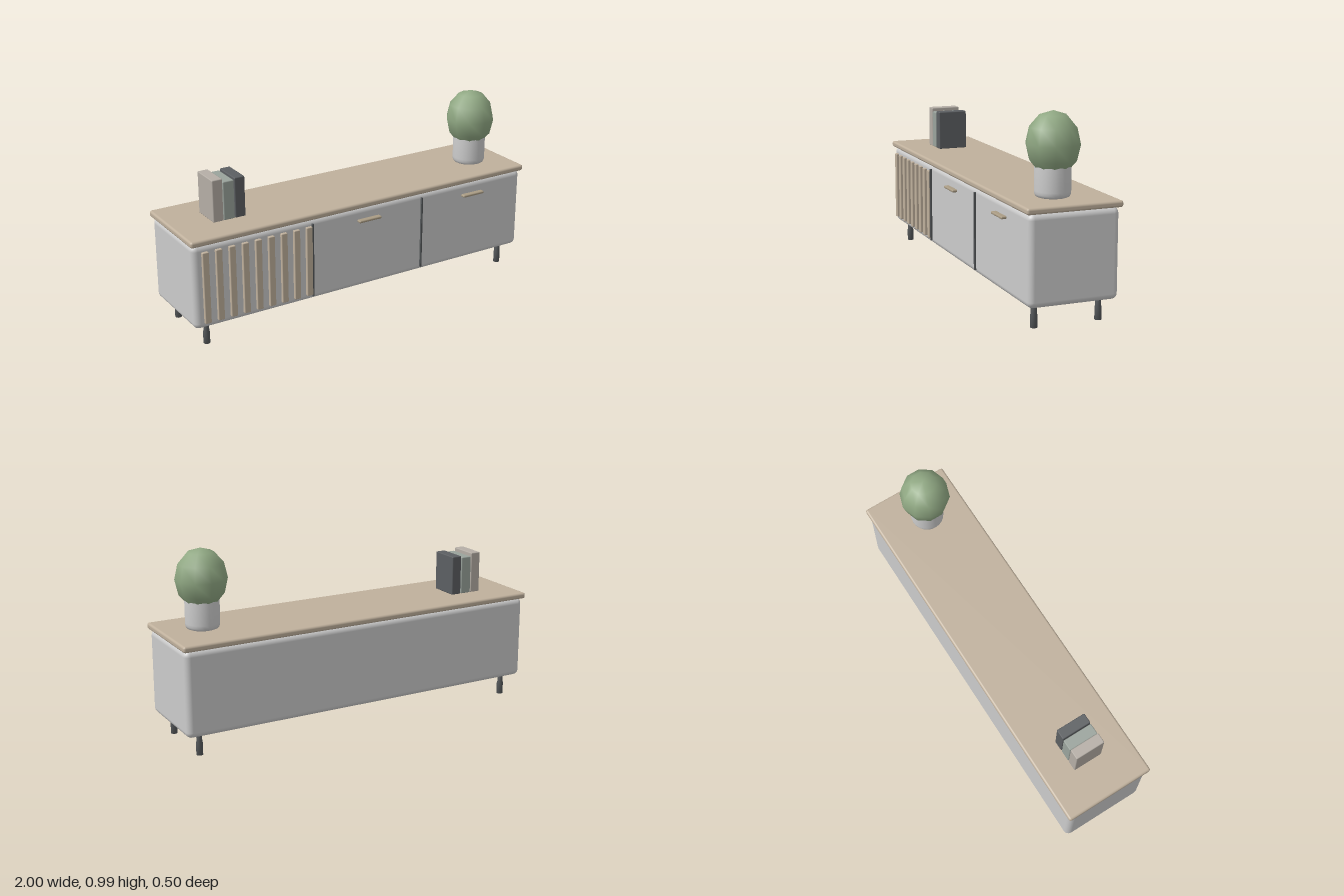
import * as THREE from 'three';
import { RoundedBoxGeometry } from 'three/addons/geometries/RoundedBoxGeometry.js';

const paint = (color) => new THREE.MeshStandardMaterial({ color });

export function createModel() {
  const model = new THREE.Group();
  const grey = paint(0xcccccc);
  const wood = paint(0xbfb09c);
  const brass = paint(0xaa9c84);
  const dark = paint(0x55585a);
  const green = paint(0x90a883);

  const add = (name, geometry, material, x, y, z) => {
    const mesh = new THREE.Mesh(geometry, material);
    mesh.name = name;
    mesh.position.set(x, y, z);
    model.add(mesh);
    return mesh;
  };
  // Rounded box given by its lower and upper limits on each axis
  const block = (name, material, [x0, x1], [y0, y1], [z0, z1], radius, segments = 2) =>
    add(name, new RoundedBoxGeometry(x1 - x0, y1 - y0, z1 - z0, segments, radius), material,
      (x0 + x1) / 2, (y0 + y1) / 2, (z0 + z1) / 2);

  // Cabinet and its overhanging top
  block('cabinetBody', grey, [-0.99, 0.99], [0.112, 0.553], [-0.234, 0.223], 0.03, 3);
  block('cabinetTop', wood, [-1, 1], [0.552, 0.584], [-0.246, 0.237], 0.012);

  // Legs with a slightly wider foot
  const legProfile = [[0, 0], [0.017, 0], [0.017, 0.062], [0.0145, 0.07], [0.0145, 0.13], [0, 0.13]]
    .map(([r, y]) => new THREE.Vector2(r, y));
  for (const x of [-0.906, 0.906]) {
    for (const z of [-0.169, 0.161]) {
      const leg = new THREE.LatheGeometry(legProfile, 12);
      add('leg', leg, dark, x, 0, z);
    }
  }

  // Slatted front on the right door
  for (let i = 0; i < 9; i++) {
    const x = -0.926 + i * 0.0713;
    block('slat', wood, [x - 0.017, x + 0.017], [0.144, 0.519], [0.215, 0.239], 0.004, 1);
  }

  // Dark seams between the three fronts
  for (const x of [-0.333, 0.33]) {
    const seam = new THREE.BoxGeometry(0.008, 0.396, 0.02);
    add('doorSeam', seam, dark, x, 0.332, 0.223);
  }

  // Handles
  for (const x of [0, 0.658]) {
    block('handle', brass, [x - 0.067, x + 0.067], [0.478, 0.492], [0.219, 0.249], 0.006);
  }

  // Books
  const books = [
    [-0.8, -0.744, 0.803, 0xb5aea6],
    [-0.742, -0.682, 0.785, 0x9aa39c],
    [-0.679, -0.623, 0.794, 0x5c5f62],
  ];
  for (const [x0, x1, top, color] of books) {
    block('book', paint(color), [x0, x1], [0.584, top], [-0.088, 0.073], 0.005, 1);
  }

  // Plant pot with a softly rounded base and an inner wall
  const potProfile = [[0, 0], [0.072, 0], [0.081, 0.004], [0.086, 0.016], [0.087, 0.03],
    [0.087, 0.15], [0.08, 0.15], [0.08, 0.12], [0, 0.12]]
    .map(([r, y]) => new THREE.Vector2(r, y));
  add('plantPot', new THREE.LatheGeometry(potProfile, 24), grey, 0.789, 0.584, 0.018);

  // Foliage ball, slightly taller than wide
  const foliage = add('foliage', new THREE.SphereGeometry(0.131, 10, 6), green, 0.789, 0.833, 0.018);
  foliage.scale.y = 1.18;
  foliage.rotation.y = Math.PI / 2;

  return model;
}
